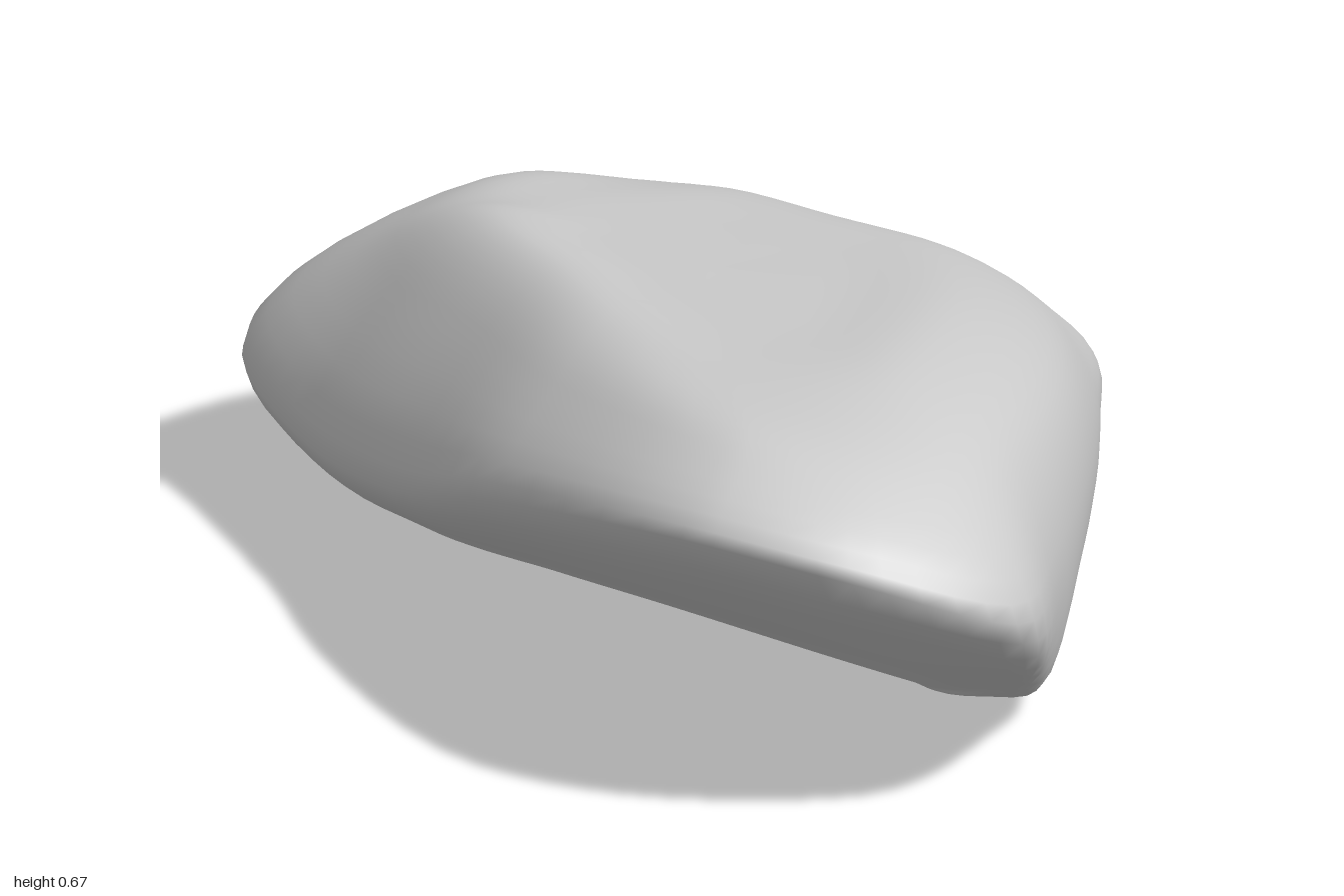
import * as THREE from 'three';
import { mergeVertices } from 'three/addons/utils/BufferGeometryUtils.js';

// Stations around the boulder: rim (widest), top shoulder, base edge; each x, y, z
const STATIONS = [
  [-1, .27, 0, -.65, .565, -.03, -.83, .09, -.04],
  [-.965, .24, .12, -.7, .51, .08, -.77, .08, .07],
  [-.7, .2, .28, -.58, .5, .19, -.57, .06, .17],
  [-.4, .25, .44, -.32, .54, .32, -.35, .06, .18],
  [-.01, .4, .65, .02, .58, .52, -.05, .06, .18],
  [.53, .53, .83, .5, .64, .68, .38, .065, .19],
  [.83, .5, .75, .71, .62, .61, .61, .07, .19],
  [.995, .39, .51, .82, .58, .45, .73, .1, .2],
  [.84, .34, .2, .75, .56, .2, .73, .07, .12],
  [.62, .31, -.17, .56, .51, -.16, .56, .06, -.13],
  [.365, .27, -.52, .31, .45, -.46, .33, .07, -.45],
  [.14, .23, -.77, .08, .39, -.64, .1, .08, -.67],
  [-.2, .2, -.83, -.2, .4, -.62, -.2, .08, -.68],
  [-.59, .21, -.77, -.48, .4, -.6, -.52, .09, -.63],
  [-.79, .24, -.49, -.58, .49, -.38, -.66, .08, -.41],
  [-.94, .26, -.24, -.64, .55, -.2, -.78, .08, -.22],
];
const AROUND = 80;
const ROWS = 42;

// Closed smooth loop through one column of the stations
const loop = (k) => new THREE.CatmullRomCurve3(
  STATIONS.map((s) => new THREE.Vector3(s[k], s[k + 1], s[k + 2])), true);

// Gently domed upper face, falling away to the back
const topHeight = (x, z) => .622 + .14 * z - .16 * z * z + .02 * x;

function boulderGeometry() {
  const [rim, shoulder, base] = [loop(0), loop(3), loop(6)];
  const topCentre = new THREE.Vector3(0, topHeight(0, .05), .05);
  const bottomCentre = new THREE.Vector3(0, 0, -.1);
  const positions = [];
  const index = [];

  // One meridian per step, running from the top centre to the bottom centre
  for (let j = 0; j < AROUND; j++) {
    const u = j / AROUND;
    const s = shoulder.getPoint(u);
    const b = base.getPoint(u);
    const inner = [.35, .7].map((t) => {
      const p = topCentre.clone().lerp(s, t);
      p.y = topHeight(p.x, p.z);
      return p;
    });
    const under = bottomCentre.clone().lerp(b, .72).setY(.014);
    const meridian = new THREE.CatmullRomCurve3(
      [topCentre, ...inner, s, rim.getPoint(u), b, under, bottomCentre]);
    for (let i = 0; i <= ROWS; i++) {
      const p = meridian.getPoint(i / ROWS);
      positions.push(p.x, Math.max(0, p.y), p.z);
    }
  }

  // Join neighbouring meridians, with single triangles at both centres
  const at = (i, j) => (j % AROUND) * (ROWS + 1) + i;
  for (let j = 0; j < AROUND; j++) {
    for (let i = 0; i < ROWS; i++) {
      const a = at(i, j), b = at(i, j + 1), c = at(i + 1, j), d = at(i + 1, j + 1);
      if (i > 0) index.push(a, c, b);
      if (i < ROWS - 1) index.push(b, c, d);
    }
  }

  const geometry = new THREE.BufferGeometry();
  geometry.setAttribute('position', new THREE.Float32BufferAttribute(positions, 3));
  geometry.setIndex(index);
  const merged = mergeVertices(geometry);
  merged.computeVertexNormals();
  return merged;
}

export function createModel() {
  const group = new THREE.Group();
  group.name = 'rock';
  const boulder = new THREE.Mesh(
    boulderGeometry(), new THREE.MeshStandardMaterial({ color: 0xcccccc }));
  boulder.name = 'boulder';
  group.add(boulder);
  return group;
}
